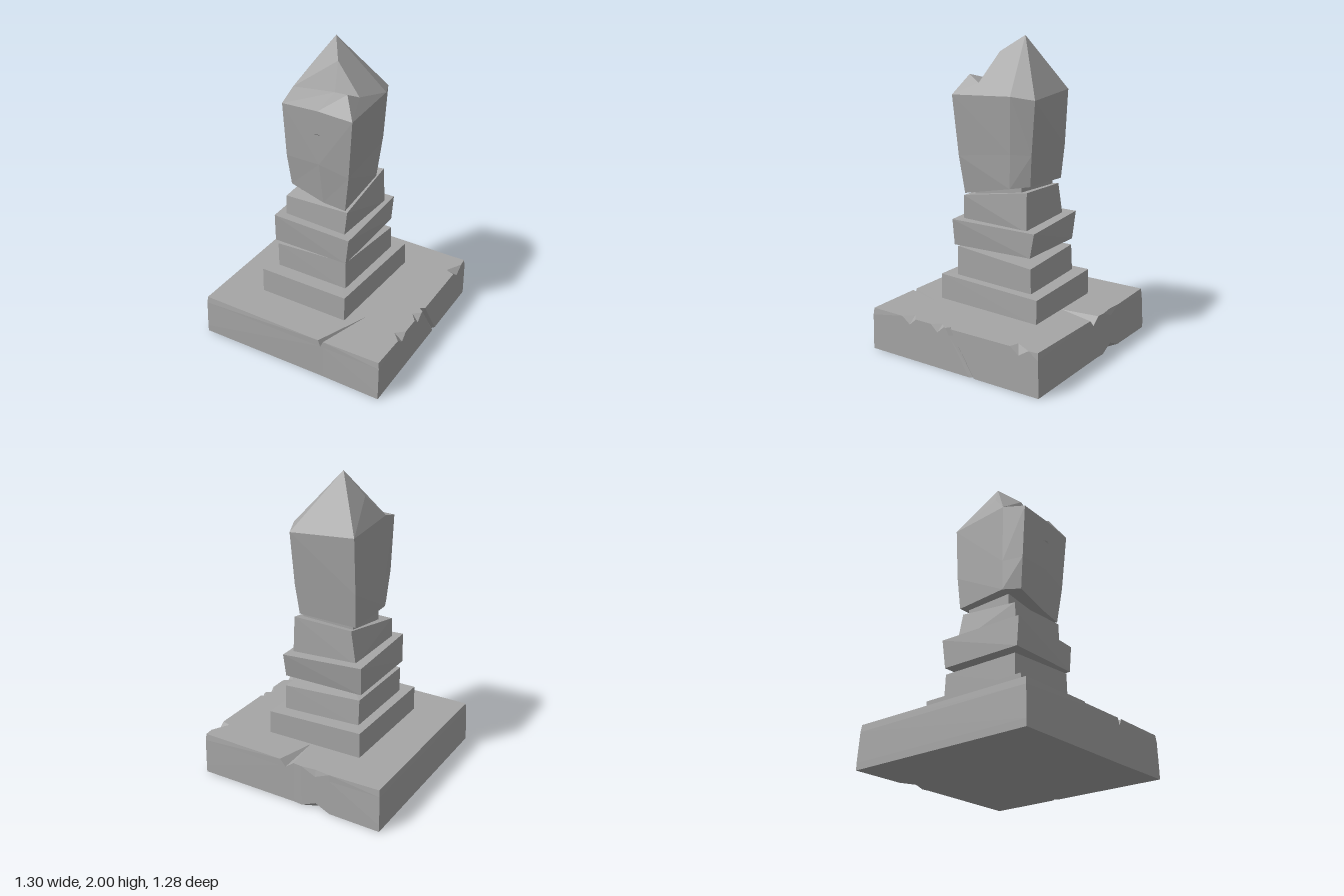
import * as THREE from 'three';

const stone = new THREE.MeshStandardMaterial({ color: 0xa6a6a6, flatShading: true });
stone.name = 'grey stone';

// Faceted mesh from a flat list of corner points, three per face.
function facets(name, points) {
  const geometry = new THREE.BufferGeometry().setFromPoints(points);
  geometry.computeVertexNormals();
  const mesh = new THREE.Mesh(geometry, stone);
  mesh.name = name;
  return mesh;
}

// Triangle wound so that it faces up (1) or down (-1).
function facing(a, b, c, up) {
  const ny = (b.z - a.z) * (c.x - a.x) - (b.x - a.x) * (c.z - a.z);
  return ny * up >= 0 ? [a, b, c] : [a, c, b];
}

function cap(ring, up) {
  const outline = ring.map((p) => new THREE.Vector2(p.x, -p.z));
  return THREE.ShapeUtils.triangulateShape(outline, [])
    .flatMap(([i, j, k]) => facing(ring[i], ring[j], ring[k], up));
}

// Walls between stacked rings, each quad split along its outermost diagonal.
function walls(rings) {
  const out = [];
  const reach = (p, q) => Math.hypot(p.x + q.x, p.z + q.z);
  for (let r = 0; r + 1 < rings.length; r++) {
    const lo = rings[r], hi = rings[r + 1];
    lo.forEach((a, i) => {
      const n = (i + 1) % lo.length, b = lo[n], c = hi[n], d = hi[i];
      if (reach(b, d) > reach(a, c)) out.push(a, b, d, b, c, d);
      else out.push(a, b, c, a, c, d);
    });
  }
  return out;
}

const ring = (list) => list.map((p) => new THREE.Vector3(...p));

function block(name, ...lists) {
  const rings = lists.map(ring);
  return facets(name, [...cap(rings[0], -1), ...walls(rings), ...cap(rings.at(-1), 1)]);
}

// Wide plinth: columns run round the edge, giving [x, z] at four heights.
function plinth() {
  const heights = [0, 0.045, 0.235, 0.28];
  const plain = (x, z) => [[x, z], [x, z], [x, z], [x, z]];
  const chipTop = (x, z, tip) => [[x, z], [x, z], [x, z], tip];
  const columns = [
    [[-0.65, -0.64], [-0.65, -0.64], [-0.645, -0.63], [-0.64, -0.625]],
    [[-0.65, 0.64], [-0.65, 0.64], [-0.645, 0.635], [-0.64, 0.63]],
    // front crack
    plain(0.22, 0.635), chipTop(0.235, 0.635, [0.36, 0.29]), plain(0.255, 0.635),
    [[0.65, 0.64], [0.65, 0.64], [0.65, 0.635], [0.645, 0.63]],
    // chips and slanting crack on the left side
    plain(0.65, 0.39), chipTop(0.65, 0.33, [0.595, 0.33]), plain(0.65, 0.28),
    plain(0.65, 0.16), chipTop(0.65, 0.11, [0.605, 0.1]), plain(0.65, 0.06),
    [[0.65, -0.13], [0.65, -0.1], [0.65, 0.02], [0.65, 0.045]],
    [[0.635, -0.15], [0.635, -0.12], [0.63, 0], [0.62, 0.025]],
    [[0.65, -0.17], [0.65, -0.14], [0.65, -0.02], [0.65, 0.005]],
    plain(0.65, -0.43), chipTop(0.65, -0.49, [0.59, -0.45]), plain(0.65, -0.56),
    [[0.65, -0.63], [0.65, -0.63], [0.65, -0.625], [0.645, -0.62]],
    // back crack and broken lower edge
    plain(0.06, -0.63), chipTop(0.02, -0.63, [-0.01, -0.38]), plain(-0.04, -0.63),
    plain(-0.1, -0.635),
    [[-0.2, -0.59], [-0.2, -0.635], [-0.2, -0.635], [-0.2, -0.625]],
    plain(-0.3, -0.635),
  ];
  return block('plinth', ...heights.map((y, h) => columns.map((c) => [c[h][0], y, c[h][1]])));
}

// Tall head stone with a broken pyramid tip.
function headStone() {
  const foot = ring([[-0.24, 1.08, -0.22], [-0.25, 1.1, 0.14], [-0.2, 1.09, 0.25],
    [0.03, 1.02, 0.25], [0.18, 1.0, 0.24], [0.2, 1.08, -0.12], [0.15, 1.1, -0.24]]);
  const belly = ring([[-0.25, 1.3, -0.24], [-0.25, 1.3, 0.14], [-0.215, 1.3, 0.275],
    [0.02, 1.3, 0.28], [0.215, 1.25, 0.26], [0.212, 1.3, -0.13], [0.17, 1.3, -0.26]]);
  const shoulder = ring([[-0.25, 1.66, -0.26], [-0.245, 1.7, 0.14], [-0.22, 1.66, 0.3],
    [0.02, 1.66, 0.29], [0.25, 1.64, 0.28], [0.24, 1.66, -0.15], [0.18, 1.64, -0.29]]);
  const [backRight, side, frontRight, front, frontLeft, left, back] = shoulder;
  const [apex, bulge, ledge, pit, tooth, dip] = ring([[-0.06, 2, -0.06], [-0.17, 1.84, 0.01],
    [0.03, 1.9, 0.07], [0.05, 1.73, 0.14], [0.17, 1.765, 0.2], [0.2, 1.72, 0.11]]);
  const crown = [
    [apex, backRight, back], [apex, back, left], [apex, backRight, bulge],
    [bulge, backRight, side], [apex, bulge, side], [apex, side, ledge],
    [apex, ledge, left], [ledge, side, pit], [ledge, pit, dip], [ledge, dip, left],
    [pit, side, frontRight], [pit, frontRight, front], [pit, front, tooth],
    [tooth, front, frontLeft], [tooth, frontLeft, dip], [pit, tooth, dip],
    [dip, frontLeft, left],
  ].flatMap(([a, b, c]) => facing(a, b, c, 1));
  return facets('headStone', [...cap(foot, -1), ...walls([foot, belly, shoulder]), ...crown]);
}

export function createModel() {
  const group = new THREE.Group();
  group.name = 'ruinedObelisk';
  // Corners run back right, front right, front left, back left.
  group.add(
    plinth(),
    block('lowerStep',
      [[-0.36, 0.27, -0.37], [-0.365, 0.27, 0.38], [0.26, 0.27, 0.385], [0.3, 0.27, -0.385]],
      [[-0.36, 0.45, -0.37], [-0.365, 0.45, 0.375], [0.26, 0.45, 0.38], [0.295, 0.435, -0.385]]),
    block('upperStep',
      [[-0.3, 0.44, -0.28], [-0.3, 0.44, 0.28], [0.21, 0.44, 0.285], [0.23, 0.44, -0.3]],
      [[-0.3, 0.62, -0.27], [-0.3, 0.62, 0.28], [0, 0.63, 0.285], [0.21, 0.645, 0.28],
        [0.23, 0.645, -0.25], [0.23, 0.6, -0.295]].filter((_, i) => i !== 2 && i !== 4)),
    block('tiltedSlab',
      [[-0.31, 0.66, -0.27], [-0.305, 0.66, 0.3], [0.22, 0.655, 0.3], [0.23, 0.67, -0.29]],
      [[-0.32, 0.85, -0.29], [-0.3, 0.855, 0.31], [0.24, 0.83, 0.3], [0.23, 0.83, -0.32]]),
    block('neckStone',
      [[-0.25, 0.83, -0.23], [-0.25, 0.83, 0.25], [0.18, 0.82, 0.25], [0.2, 0.82, -0.245]],
      [[-0.21, 1.05, -0.22], [-0.25, 0.98, 0.24], [0.195, 0.99, 0.24], [0.19, 1.07, -0.24]]),
    // small core joining neck and head
    block('neckCore',
      [[-0.2, 0.95, -0.18], [-0.2, 0.95, 0.15], [0.15, 0.95, 0.18], [0.16, 0.95, -0.18]],
      [[-0.2, 1.12, -0.18], [-0.2, 1.12, 0.15], [0.15, 1.12, 0.18], [0.16, 1.12, -0.18]]),
    headStone(),
    // chipped sliver on the front face
    facets('frontChip', ring([[-0.03, 1.5, 0.284], [0.07, 1.49, 0.277], [0.02, 1.51, 0.292],
      [-0.03, 1.5, 0.284], [0.02, 1.48, 0.282], [0.07, 1.49, 0.277]])),
  );
  return group;
}
